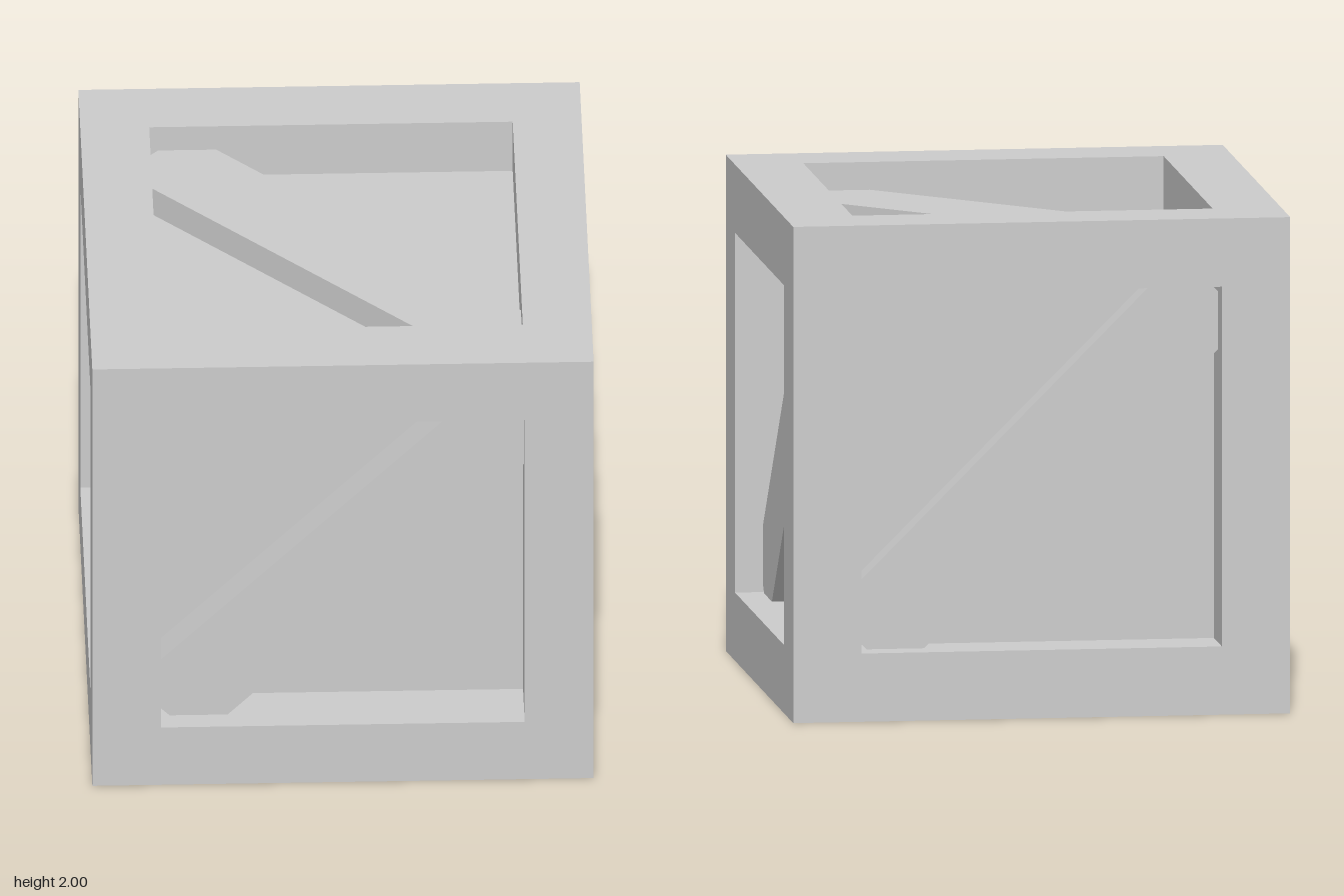
import * as THREE from 'three';

export function createModel() {
  const model = new THREE.Group();
  model.name = 'crate';
  const material = new THREE.MeshStandardMaterial({ color: 0xcccccc, flatShading: true });

  const beam = 0.275;              // square section of the frame timbers
  const inner = 2 - 2 * beam;      // clear opening
  const mid = 1 - beam / 2;        // centre line of a timber
  const panelFace = 0.764;         // distance of the recessed panels from the centre

  const body = new THREE.Group();  // centred on the origin, lifted at the end
  body.position.y = 1;
  model.add(body);

  const addBox = (parent, name, size, position) => {
    const mesh = new THREE.Mesh(new THREE.BoxGeometry(...size), material);
    mesh.name = name;
    mesh.position.set(...position);
    parent.add(mesh);
    return mesh;
  };

  // Frame: four full-height posts with rails fitted between them
  const frame = new THREE.Group();
  frame.name = 'frame';
  body.add(frame);
  for (const a of [-mid, mid]) {
    for (const b of [-mid, mid]) {
      addBox(frame, 'cornerPost', [beam, 2, beam], [a, 0, b]);
      addBox(frame, 'crossRail', [inner, beam, beam], [0, a, b]);
      addBox(frame, 'sideRail', [beam, beam, inner], [a, b, 0]);
    }
  }

  // Recessed panels on all six sides
  addBox(body, 'panels', [2 * panelFace, 2 * panelFace, 2 * panelFace], [0, 0, 0]);

  // One diagonal brace per side: name, turn about x, turn about y, slope, outer face
  const q = Math.PI / 2;
  const sides = [
    ['frontBrace', 0, 0, 1, 0.914],
    ['leftBrace', 0, q, 1, 0.888],
    ['backBrace', 0, 2 * q, 1, 0.888],
    ['rightBrace', 0, -q, 1, 0.888],
    ['topBrace', -q, 0, -1, 0.888],
    ['bottomBrace', q, 0, 1, 0.892],
  ];
  for (const [name, rx, ry, slope, face] of sides) {
    const side = new THREE.Group();
    side.name = name;
    side.rotation.set(rx, ry, 0);
    body.add(side);
    const back = panelFace - 0.02; // seated slightly into the panel
    const bar = addBox(side, name + 'Bar', [2, 0.378, face - back], [0, 0, (face + back) / 2]);
    bar.rotation.z = slope * Math.PI / 4;
  }

  return model;
}
